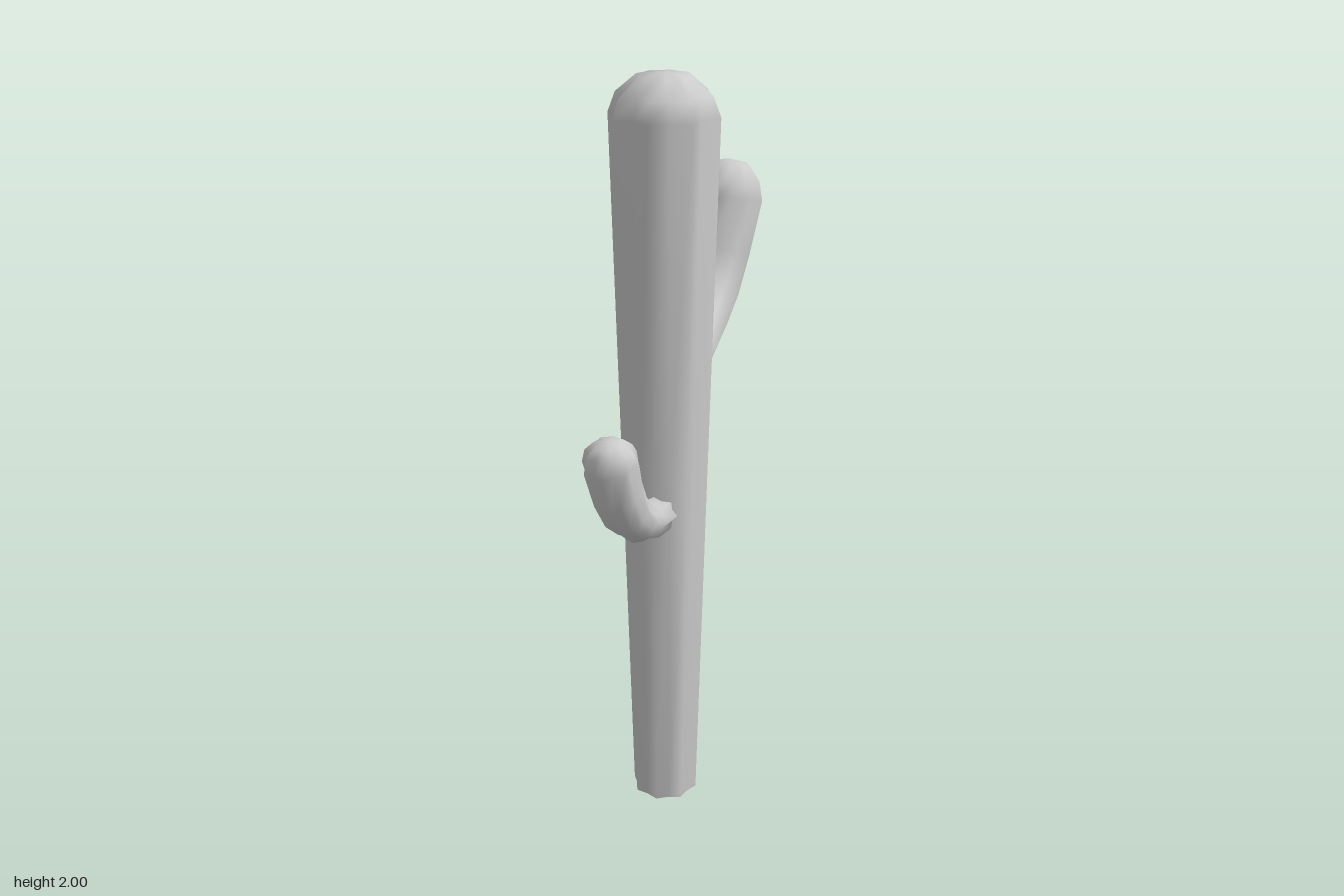
import * as THREE from 'three';
import { mergeVertices } from 'three/addons/utils/BufferGeometryUtils.js';

const RIBS = 8;
const material = new THREE.MeshStandardMaterial({ color: 0xcccccc });

// Sweeps a ribbed star section along stations [x, y, z, sideRadius, upRadius, valleyRatio].
// A station of zero radius closes an end.
function ribbedStem(name, rows) {
  const n = RIBS * 2, positions = [], index = [];
  const centres = rows.map(([x, y, z]) => new THREE.Vector3(x, y, z));
  rows.forEach(([, , , rs, ru, valley], i) => {
    const tangent = centres[Math.min(i + 1, rows.length - 1)].clone()
      .sub(centres[Math.max(i - 1, 0)]).normalize();
    const side = new THREE.Vector3(1, 0, 0).addScaledVector(tangent, -tangent.x).normalize();
    const up = tangent.clone().cross(side);
    for (let j = 0; j < n; j++) {
      const a = (j / n) * Math.PI * 2, k = j % 2 ? valley : 1;
      const p = centres[i].clone()
        .addScaledVector(side, Math.cos(a) * rs * k)
        .addScaledVector(up, Math.sin(a) * ru * k);
      positions.push(p.x, p.y, p.z);
      if (i < rows.length - 1) {
        const b = i * n + j, c = i * n + ((j + 1) % n);
        index.push(b, c, c + n, b, c + n, b + n);
      }
    }
  });
  let geometry = new THREE.BufferGeometry();
  geometry.setAttribute('position', new THREE.Float32BufferAttribute(positions, 3));
  geometry.setIndex(index);
  geometry = mergeVertices(geometry, 1e-5); // weld the closed ends
  geometry.computeVertexNormals();
  const mesh = new THREE.Mesh(geometry, material);
  mesh.name = name;
  return mesh;
}

export function createModel() {
  const group = new THREE.Group();
  group.name = 'cactus';

  // Trunk: widens upward, ribs deepen, rounded crown
  group.add(ribbedStem('trunk', [
    [0, 0, 0.06, 0, 0, 1],
    [0, 0, 0.06, 0.09, 0.09, 0.88],
    [0, 0.95, 0.06, 0.115, 0.115, 0.83],
    [0, 1.9, 0.06, 0.141, 0.141, 0.8],
    [0, 1.95, 0.06, 0.122, 0.122, 0.82],
    [0, 1.995, 0.06, 0.068, 0.068, 0.86],
    [0, 2, 0.06, 0, 0, 1],
  ]));

  // Large arm, bending up at the back
  group.add(ribbedStem('backArm', [
    [0.003, 1.21, -0.03, 0, 0, 1],
    [0.003, 1.21, -0.03, 0.078, 0.065, 0.82],
    [0.003, 1.25, -0.17, 0.081, 0.068, 0.82],
    [0.006, 1.285, -0.26, 0.083, 0.075, 0.82],
    [0.012, 1.345, -0.345, 0.087, 0.084, 0.82],
    [0.022, 1.44, -0.398, 0.092, 0.092, 0.82],
    [0.037, 1.585, -0.438, 0.101, 0.1, 0.82],
    [0.038, 1.632, -0.442, 0.09, 0.09, 0.83],
    [0.039, 1.672, -0.444, 0.06, 0.06, 0.86],
    [0.039, 1.687, -0.445, 0, 0, 1],
  ]));

  // Small arm, bending up at the front
  group.add(ribbedStem('frontArm', [
    [0.003, 0.885, 0.14, 0, 0, 1],
    [0.003, 0.885, 0.14, 0.055, 0.05, 0.82],
    [0.003, 0.915, 0.25, 0.058, 0.052, 0.82],
    [0.002, 0.95, 0.325, 0.06, 0.056, 0.82],
    [-0.002, 1.005, 0.395, 0.062, 0.061, 0.82],
    [-0.009, 1.075, 0.438, 0.066, 0.066, 0.82],
    [-0.017, 1.165, 0.467, 0.071, 0.071, 0.82],
    [-0.018, 1.195, 0.471, 0.061, 0.061, 0.83],
    [-0.018, 1.216, 0.474, 0.038, 0.038, 0.86],
    [-0.018, 1.224, 0.475, 0, 0, 1],
  ]));

  return group;
}
